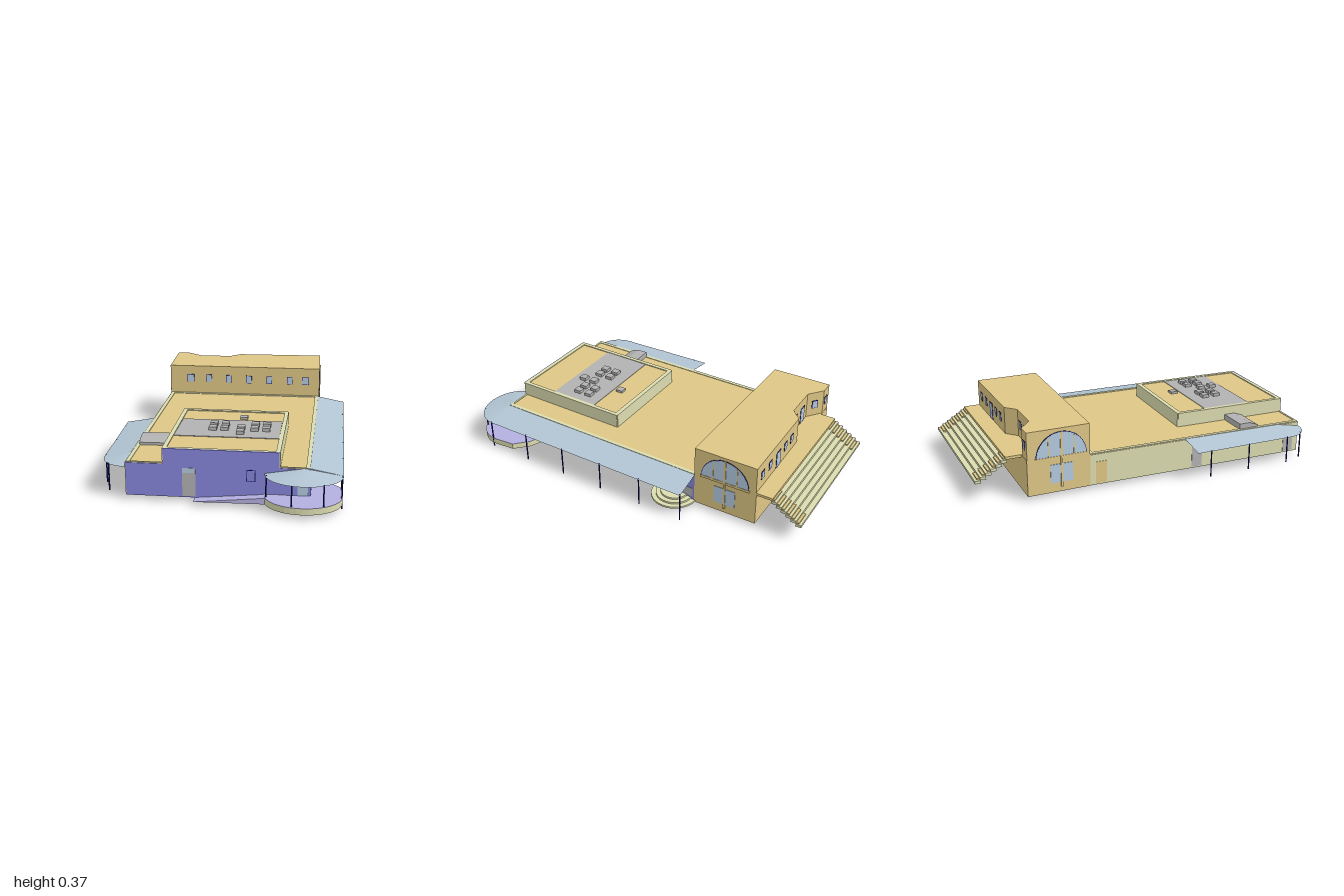
import * as THREE from 'three';

const mat = (color) => new THREE.MeshStandardMaterial({ color, side: THREE.DoubleSide, flatShading: true });
const TAN = mat(0xdec685), CREAM = mat(0xdcdcb0), BLUE = mat(0x8787dd), GLASS = mat(0xb4cbe0),
  CANOPY = mat(0xb2c5d3), GREY = mat(0xb2b2b2), NAVY = mat(0x10106a), LAVENDER = mat(0xb4b0e0);

export function createModel() {
  const model = new THREE.Group();

  const add = (name, geo, material, parent = model) => {
    const m = new THREE.Mesh(geo, material);
    m.name = name;
    parent.add(m);
    return m;
  };
  const box = (name, x0, x1, y0, y1, z0, z1, material, parent = model) => {
    const m = add(name, new THREE.BoxGeometry(x1 - x0, y1 - y0, z1 - z0), material, parent);
    m.position.set((x0 + x1) / 2, (y0 + y1) / 2, (z0 + z1) / 2);
    return m;
  };
  // Upright prism over a plan outline of [x, z] points
  const prism = (name, pts, y0, y1, material, hole) => {
    const plan = (p) => p.map(([x, z]) => new THREE.Vector2(x, -z));
    const s = new THREE.Shape(plan(pts));
    if (hole) s.holes.push(new THREE.Path(plan(hole)));
    const g = new THREE.ExtrudeGeometry(s, { depth: y1 - y0, bevelEnabled: false });
    g.rotateX(-Math.PI / 2).translate(0, y0, 0);
    return add(name, g, material);
  };
  // Local frame whose x axis runs along a wall from a to b
  const along = (name, a, b) => {
    const g = new THREE.Group();
    g.name = name;
    g.position.set(a[0], 0, a[1]);
    g.rotation.y = -Math.atan2(b[1] - a[1], b[0] - a[0]);
    g.userData.length = Math.hypot(b[0] - a[0], b[1] - a[1]);
    model.add(g);
    return g;
  };
  const wall = (name, a, b, y0, y1, material) => {
    const g = along(name, a, b);
    box(name + 'Panel', 0, g.userData.length, y0, y1, -0.004, 0.004, material, g);
    return g;
  };
  const panel = (g, name, s0, s1, y0, y1, material = GLASS, t = 0.006) => box(name, s0, s1, y0, y1, -t, t, material, g);
  const arc = (cx, cz, r, a0, a1, n = 16) => Array.from({ length: n + 1 }, (_, i) => {
    const a = a0 + (a1 - a0) * i / n;
    return [cx + r * Math.cos(a), cz + r * Math.sin(a)];
  });
  // Sloping sheet between an inner and an outer edge
  const canopy = (name, inner, outer, yIn, yOut) => {
    const pos = [], idx = [];
    inner.forEach((p, i) => {
      pos.push(p[0], yIn, p[1], outer[i][0], yOut, outer[i][1]);
      if (i) idx.push(2 * i - 2, 2 * i, 2 * i - 1, 2 * i - 1, 2 * i, 2 * i + 1);
    });
    const g = new THREE.BufferGeometry();
    g.setAttribute('position', new THREE.Float32BufferAttribute(pos, 3));
    g.setIndex(idx);
    g.computeVertexNormals();
    add(name, g, CANOPY);
  };
  const post = (x, z, y0, y1) => {
    add('post', new THREE.CylinderGeometry(0.004, 0.004, y1 - y0, 6), NAVY).position.set(x, (y0 + y1) / 2, z);
  };

  // Main hall: slightly skewed plan, open underneath
  const BL = [-0.45, -0.42], BR = [0.455, -0.4], FR = [0.42, 0.84], FL = [-0.48, 0.82];
  const pent = [[-0.28, 0.17], [0.29, 0.185], [0.272, 0.84], [-0.295, 0.825]];
  prism('mainRoof', [BL, BR, FR, FL], 0.187, 0.194, TAN, pent);
  prism('roofRim', [BL, BR, FR, FL], 0.19, 0.197, CREAM, [[-0.43, -0.4], [0.435, -0.38], [0.4, 0.83], [-0.46, 0.81]]);

  const front = wall('frontWall', FL, FR, 0.023, 0.192, BLUE);
  panel(front, 'frontDoor', 0.28, 0.345, 0.03, 0.15, GREY);
  panel(front, 'doorLight', 0.28, 0.345, 0.15, 0.175);
  panel(front, 'smallWindowFrame', 0.593, 0.637, 0.118, 0.177, NAVY, 0.005);
  panel(front, 'smallWindow', 0.596, 0.634, 0.121, 0.174, BLUE);
  panel(front, 'sideDoor', 0.775, 0.815, 0.055, 0.155, BLUE);
  panel(front, 'entryDoor', 0.84, 0.89, 0.055, 0.16);

  const right = wall('leftWall', BR, FR, 0.023, 0.192, BLUE);
  for (let i = 0; i < 14; i++) {
    const s = 0.215 + i * 0.0765;
    panel(right, 'rowWindow', s, Math.min(s + 0.06, 1.235), 0.11, 0.16);
  }
  panel(right, 'glassDoors', 0.8, 0.93, 0.055, 0.16);
  panel(right, 'doorMullion', 0.862, 0.868, 0.055, 0.16, BLUE, 0.008);
  panel(right, 'stepDoor', 0.07, 0.175, 0.052, 0.16);
  panel(right, 'stepDoorSide', 0.01, 0.065, 0.052, 0.105, GREY);

  const left = wall('rightWall', BL, FL, 0.023, 0.192, CREAM);
  panel(left, 'greyDoor', 1.15, 1.21, 0.03, 0.16, GREY);
  panel(left, 'greyDoor', 0.58, 0.64, 0.03, 0.15, GREY);
  panel(left, 'tanDoor', 0.03, 0.09, 0.03, 0.15, TAN);

  // Raised roof section with its equipment
  const sides = ['Back', 'Left', 'Front', 'Right'];
  pent.forEach((p, i) => wall('raised' + sides[i], p, pent[(i + 1) % 4], 0.187, 0.272, i === 2 ? BLUE : CREAM));
  prism('raisedRoof', pent, 0.262, 0.267, TAN);
  prism('raisedRim', pent, 0.264, 0.272, CREAM, [[-0.262, 0.19], [0.272, 0.205], [0.255, 0.82], [-0.277, 0.805]]);
  prism('equipmentPad', [[-0.263, 0.345], [0.266, 0.355], [0.26, 0.632], [-0.272, 0.622]], 0.261, 0.27, GREY);
  const units = [[0.06, 0.31], [0.06, 0.495], [0.06, 0.565]];
  for (const x of [-0.085, -0.025, 0.13, 0.19]) units.push([x, 0.44], [x, 0.51]);
  units.forEach(([x, z]) => box('roofUnit', x - 0.02, x + 0.02, 0.267, z < 0.4 ? 0.28 : 0.288, z - 0.02, z + 0.02, GREY));
  const duct = new THREE.Shape([[0.46, 0.194], [0.57, 0.194], [0.57, 0.208], [0.52, 0.226], [0.46, 0.226]].map(([z, y]) => new THREE.Vector2(-z, y)));
  add('duct', new THREE.ExtrudeGeometry(duct, { depth: 0.17, bevelEnabled: false }).rotateY(Math.PI / 2).translate(-0.46, 0, 0), GREY);

  // Long canopy with a rounded front end
  const bend = arc(0.39, 0.84, 0.19, 0, Math.PI, 20).map(([x, z]) => [x, 0.84 + (z - 0.84) * 0.84]);
  canopy('longCanopy', [BR, FR, ...bend.map(() => [0.39, 0.84])], [[0.61, -0.4], [0.58, 0.84], ...bend], 0.195, 0.163);
  for (let i = 0; i < 6; i++) post(0.603 - i * 0.006, -0.395 + i * 0.25, 0, 0.165);
  [[0.21, 0.87], [0.335, 0.98], [0.485, 0.97]].forEach(([x, z]) => post(x, z, 0.025, 0.165));

  // Short canopy with a quarter-round corner
  const corner = arc(-0.48, 0.69, 0.135, Math.PI, Math.PI / 2, 10);
  canopy('shortCanopy', [[-0.463, 0.12], ...corner.map(() => [-0.48, 0.69])], [[-0.615, 0.12], ...corner], 0.195, 0.169);
  [[-0.61, 0.2], [-0.61, 0.43], [-0.61, 0.67], [-0.575, 0.775]].forEach(([x, z]) => post(x, z, 0.025, 0.171));

  // Entry terrace, ramp and round steps
  const terrace = [[0.43, 0.62], [0.5, 0.65], [0.57, 0.72], ...bend.map(([x, z]) => [x - 0.003, z]), [0.2, 0.835], [0.42, 0.84]];
  prism('terrace', terrace, 0.023, 0.054, CREAM);
  prism('terraceFloor', terrace, 0.054, 0.056, LAVENDER);
  const ramp = new THREE.Shape([[-0.14, 0.023], [0.21, 0.023], [0.21, 0.055]].map((p) => new THREE.Vector2(...p)));
  add('ramp', new THREE.ExtrudeGeometry(ramp, { depth: 0.055, bevelEnabled: false }).translate(0, 0, 0.832), LAVENDER);
  for (let i = 0; i < 3; i++) {
    prism('roundStep', arc(0.455, -0.28, 0.125 - i * 0.025, -Math.PI / 2, Math.PI / 2, 20), 0.023 + i * 0.01, 0.033 + i * 0.01, CREAM);
  }

  // Two-storey rear block with a notched upper back wall
  const F = [[-0.455, -0.42], [0.46, -0.4]];
  const back = [[0.46, -0.75], [-0.05, -0.745], [-0.11, -0.69], [-0.3, -0.69], [-0.38, -0.755], [-0.455, -0.755]];
  prism('rearBlockLower', [...F, [0.46, -0.752], [-0.455, -0.757]], 0.023, 0.218, TAN);
  prism('rearBlockUpper', [...F, ...back], 0.218, 0.366, TAN);
  const frontTop = along('rearBlockFrontWindows', ...F);
  [-0.33, -0.215, -0.095, 0.03, 0.155, 0.28, 0.375].forEach((x, i) => {
    const w = i % 6 ? 0.015 : 0.019;
    panel(frontTop, 'windowFrame', x + 0.455 - w - 0.002, x + 0.455 + w + 0.002, 0.265, 0.312, NAVY, 0.002);
    panel(frontTop, 'upperWindow', x + 0.455 - w, x + 0.455 + w, 0.267, 0.31, GLASS, 0.003);
  });

  // Rear windows and doors facing the stair landing
  const rear = (i, list) => {
    const g = along('rearOpenings', back[i], back[i + 1]);
    list.forEach(([s, door]) => {
      const w = door ? 0.022 : 0.014, y0 = door ? 0.22 : 0.265;
      panel(g, 'frame', s - w - 0.004, s + w + 0.004, y0, 0.314, NAVY, 0.002);
      panel(g, 'pane', s - w, s + w, y0 + 0.003, 0.31, GLASS, 0.003);
    });
  };
  rear(0, [[0.07], [0.16], [0.26, true], [0.35], [0.43]]);
  rear(2, [[0.04], [0.13, true]]);
  rear(3, [[0.05]]);
  rear(4, [[0.035]]);

  // Arched end windows, both ends alike
  for (const x of [-0.455, 0.46]) {
    const end = new THREE.Group();
    end.name = 'endWindows';
    end.position.set(x, 0, -0.575);
    model.add(end);
    const fan = (name, r, t, m) => {
      const g = add(name, new THREE.CylinderGeometry(r, r, t, 32, 1, false, 0, Math.PI), m, end);
      g.rotation.z = Math.PI / 2;
      g.position.y = 0.213;
    };
    fan('archFrame', 0.136, 0.004, NAVY);
    fan('archGlass', 0.133, 0.006, GLASS);
    box('lowerWindows', -0.003, 0.003, 0.075, 0.175, -0.06, 0.06, GLASS, end);
    box('centrePost', -0.007, 0.007, 0.05, 0.348, -0.006, 0.006, TAN, end);
    box('archSill', -0.005, 0.005, 0.205, 0.219, -0.14, 0.14, TAN, end);
    for (const s of [-1, 1]) {
      box('archMullion', -0.005, 0.005, 0.213, 0.322, s * 0.068 - 0.003, s * 0.068 + 0.003, TAN, end);
    }
  }

  // Landing and rear stairs
  box('landing', -0.365, 0.46, 0.205, 0.219, -0.84, -0.75, TAN);
  const N = 6, run = 0.165 / N, drop = 0.105 / N;
  for (let i = 0; i < N; i++) {
    const z = -0.835 - i * run, y = 0.219 - (i + 1) * drop;
    box('stair', -0.365, 0.46, y - 0.014, y + 0.001, z - run, z + 0.003, CREAM);
    for (const [a, b] of [[-0.35, -0.27], [0.37, 0.455]]) {
      box('sideStep', a, b, y, y + drop / 2, z - run / 2, z + 0.003, TAN);
    }
  }
  return model;
}
